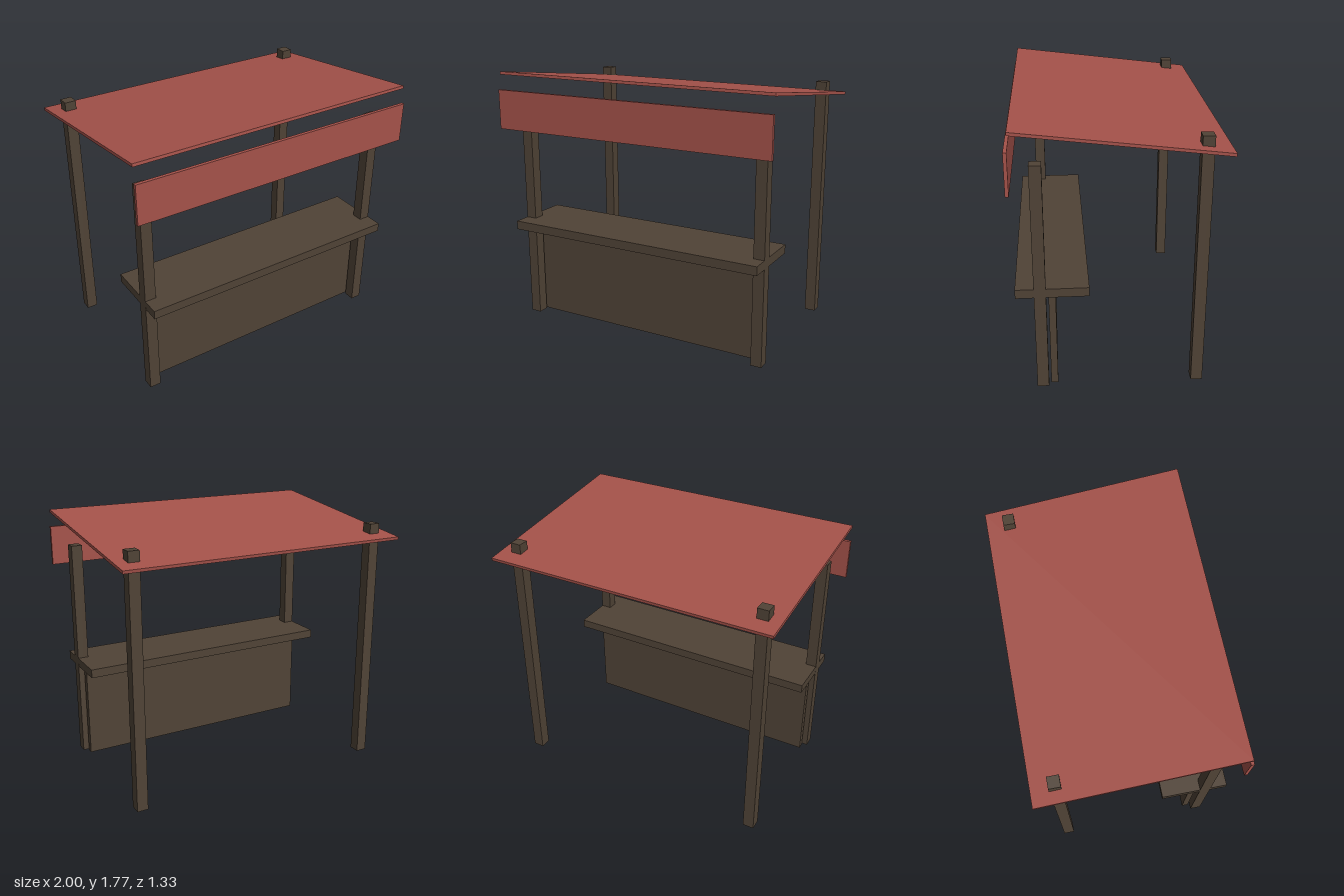
import * as THREE from 'three';

export function createModel() {
  const stall = new THREE.Group();
  stall.name = 'marketStall';

  const wood = new THREE.MeshStandardMaterial({ color: 0x504336 });
  wood.name = 'darkWood';
  const red = new THREE.MeshStandardMaterial({ color: 0xa5524a });
  red.name = 'redCanopy';

  // Box given by its size and the centre of its underside
  function addBox(name, material, [w, h, d], [x, y, z]) {
    const mesh = new THREE.Mesh(new THREE.BoxGeometry(w, h, d), material);
    mesh.name = name;
    mesh.position.set(x, y + h / 2, z);
    stall.add(mesh);
    return mesh;
  }

  // Corner posts: the back pair is taller and pokes through the roof
  const postWidth = 0.075;
  for (const [side, sign] of [['left', 1], ['right', -1]]) {
    const x = sign * 0.883;
    addBox(side + 'FrontPost', wood, [postWidth, 1.54, postWidth], [x, 0, 0.492]);
    addBox(side + 'BackPost', wood, [postWidth, 1.695, postWidth], [x, 0, -0.512]);
  }

  // Counter top and the panel below it
  addBox('counterTop', wood, [1.84, 0.06, 0.46], [0, 0.665, 0.415]);
  addBox('counterPanel', wood, [1.77, 0.665, 0.045], [0, 0, 0.417]);

  // Sloping roof, higher at the front
  const roof = addBox('roof', red, [2, 0.02, 1.31], [0, 1.673, -0.01]);
  roof.rotation.x = -THREE.MathUtils.degToRad(7);

  // Hanging front board
  addBox('frontValance', red, [2, 0.268, 0.022], [0, 1.384, 0.653]);

  return stall;
}
